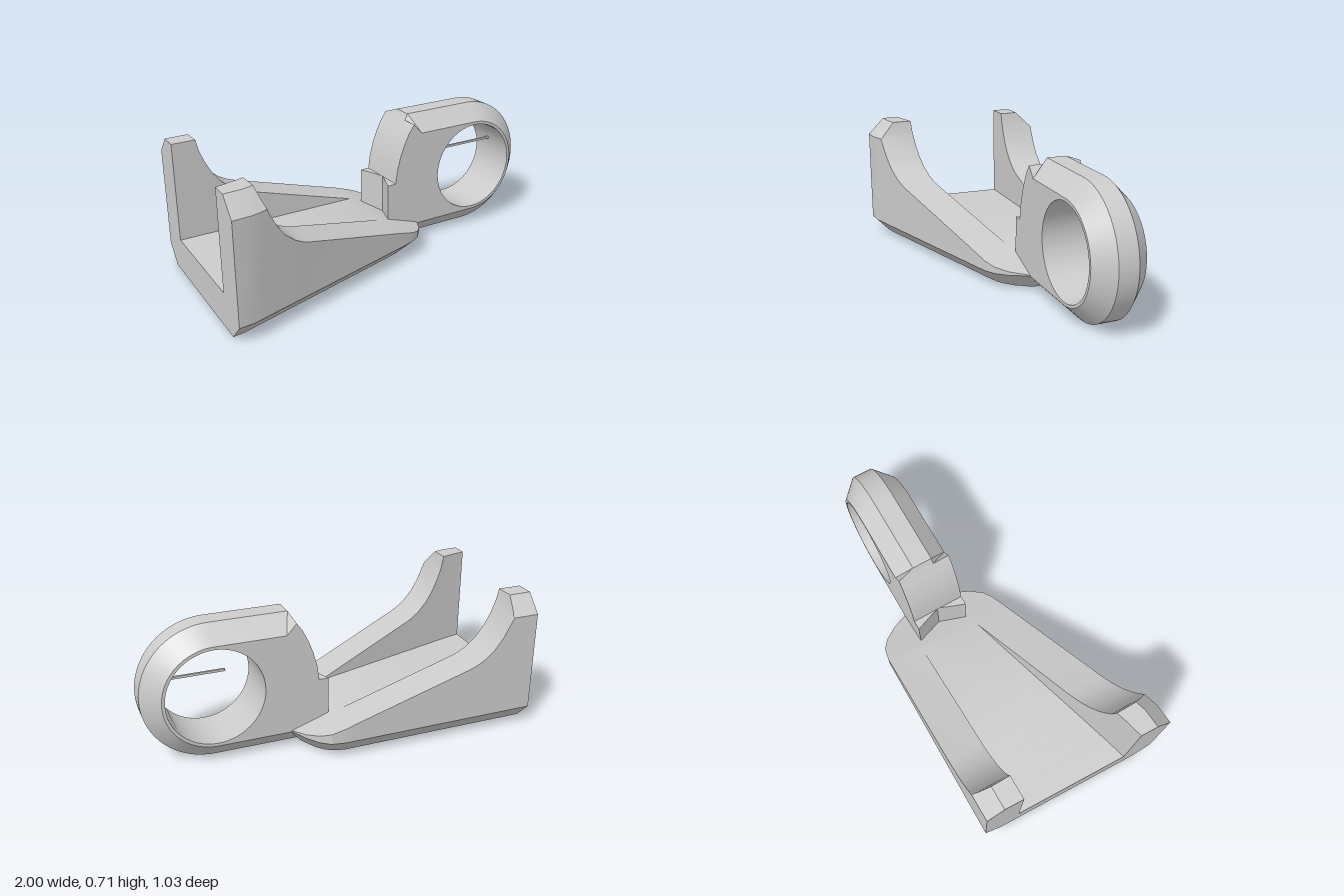
import * as THREE from 'three';
import { toCreasedNormals } from 'three/addons/utils/BufferGeometryUtils.js';

const grey = new THREE.MeshStandardMaterial({ color: 0xcccccc });

// Mesh from a list of triangle corners, with sharp edges kept
function solid(name, tris) {
  const geo = new THREE.BufferGeometry();
  geo.setAttribute('position', new THREE.Float32BufferAttribute(tris.flat(), 3));
  const mesh = new THREE.Mesh(toCreasedNormals(geo, 0.4), grey);
  mesh.name = name;
  return mesh;
}

// Skin between successive closed loops of 3D points
function loft(loops) {
  const tris = [];
  for (let i = 0; i < loops.length - 1; i++) {
    const a = loops[i], b = loops[i + 1], n = a.length;
    for (let j = 0; j < n; j++) {
      const k = (j + 1) % n;
      tris.push(a[j], a[k], b[j], a[k], b[k], b[j]);
    }
  }
  return tris;
}

// Flat cap of a 2D outline with optional hole; place() puts each point in space
function cap(outline, hole, place, flip) {
  const shape = new THREE.Shape(outline.map(p => new THREE.Vector2(...p)));
  if (hole) shape.holes.push(new THREE.Path(hole.map(p => new THREE.Vector2(...p))));
  const geo = new THREE.ShapeGeometry(shape).toNonIndexed();
  const p = geo.attributes.position, tris = [];
  for (let i = 0; i < p.count; i += 3) {
    const order = flip ? [i, i + 2, i + 1] : [i, i + 1, i + 2];
    tris.push(...order.map(k => place(p.getX(k), p.getY(k))));
  }
  return tris;
}

// Linear lookup in a table whose rows start with their key
function lookup(table, key) {
  let i = 0;
  while (i < table.length - 2 && table[i + 1][0] < key) i++;
  const a = table[i], b = table[i + 1], t = (key - a[0]) / (b[0] - a[0]);
  return a.map((v, k) => v + (b[k] - v) * t);
}

// Tapered tray: floor, two side walls and a chamfered underside
function makeTray() {
  // x, back z, front z, then x, back z, front z of the underside
  const plan = [
    [-1, -0.48, 0.51, -1, -0.39, 0.42], [-0.92, -0.483, 0.50, -0.94, -0.393, 0.41],
    [0.05, -0.52, 0.18, 0.02, -0.43, 0.09], [0.12, -0.51, 0.155, 0.07, -0.42, 0.07],
    [0.17, -0.475, 0.125, 0.11, -0.40, 0.04], [0.22, -0.41, 0.065, 0.15, -0.36, 0.0],
    [0.28, -0.29, -0.06, 0.20, -0.27, -0.08],
  ];
  const wallTop = [
    [-1, 0.705], [-0.865, 0.705], [-0.85, 0.642], [-0.825, 0.58], [-0.79, 0.515],
    [-0.745, 0.457], [-0.69, 0.41], [-0.645, 0.385], [-0.6, 0.368], [0, 0.185], [0.28, 0.092],
  ];
  const xs = [...new Set([...plan, ...wallTop, [-0.843, 0]].map(r => r[0]))].sort((a, b) => a - b);
  const section = x => {
    const [, zb, zf, ux, ub, uf] = lookup(plan, x);
    const h = lookup(wallTop, x)[1], floor = Math.min(h, 0.185);
    const shoulder = Math.min(h, 0.615), c = h - shoulder;
    const s = Math.min(x, 0);
    const ib = Math.max(zb + 0.01, -0.33 - 0.04 * s), inf = Math.min(zf - 0.01, -0.33 * s);
    const skew = x > -1 && x < 0 ? 0.037 : 0;
    return [
      [ub, 0, ux], [zb, 0.092], [zb, shoulder], [zb + c, h], [ib, h], [ib, floor],
      [inf, floor], [inf, h], [zf - c, h], [zf, shoulder], [zf, 0.092], [uf, 0, ux],
    ].map(([z, y, px = x]) => [px + (y > 0.1 ? skew * z : 0), y, z]);
  };
  const loops = xs.map(section), first = loops[0], last = loops[loops.length - 1];
  const tris = loft(loops);
  tris.push(...cap(first.map(p => [p[2], p[1]]), null, (z, y) => [-1, y, z]));
  for (let j = 1; j < last.length - 1; j++) tris.push(last[0], last[j], last[j + 1]);
  return solid('tray', tris);
}

// Upright plate with a round bore, chamfered rim and a notched inner end
function makeRing() {
  const cx = 0.645, cy = 0.353, R = 0.353, half = 0.142, bevel = 0.09;
  const rim = r => Array.from({ length: 41 }, (_, i) => {
    const a = -Math.PI / 2 + Math.PI * i / 40;
    return [cx + r * Math.cos(a), cy + r * Math.sin(a)];
  });
  const innerEnd = [
    [0.235, 0.672], [0.205, 0.63], [0.175, 0.57], [0.15, 0.505], [0.13, 0.43],
    [0.12, 0.355], [0.07, 0.355], [0.07, 0.185],
  ];
  const full = [[0.07, 0], ...rim(R), [0.25, 0.706], ...innerEnd];
  const face = [[0.07, 0.09], ...rim(R - bevel), [0.285, 0.616], ...innerEnd];
  // the lower step forms a shallow V across the thickness
  const loopAt = (pts, z) => pts.map(([x, y]) =>
    [x < 0.1 ? x + 0.055 * (1 - Math.abs(z) / half) : x, y, z]);
  const bore = Array.from({ length: 64 }, (_, i) => {
    const a = i / 64 * Math.PI * 2;
    return [cx + 0.247 * Math.cos(a), cy + 0.247 * Math.sin(a)];
  });
  const inner = half - bevel;
  const ring = new THREE.Group();
  ring.name = 'ringPlate';
  ring.add(solid('ringBody', [
    ...loft([loopAt(face, -half), loopAt(full, -inner), loopAt(full, 0), loopAt(full, inner), loopAt(face, half)]),
    ...cap(face, bore, (x, y) => [x, y, half]),
    ...cap(face, bore, (x, y) => [x, y, -half], true),
    ...loft([loopAt(bore, half), loopAt(bore, -half)]),
  ]));
  // thin sliver reaching into the bore
  const sliver = new THREE.Mesh(new THREE.BoxGeometry(0.32, 0.012, 0.012), grey);
  sliver.name = 'boreSliver';
  sliver.position.set(0.725, 0.435, -0.02);
  ring.add(sliver);
  ring.position.set(0.002, 0, -0.17);
  ring.rotation.y = 0.037;
  return ring;
}

export function createModel() {
  const model = new THREE.Group();
  model.name = 'bracket';
  model.add(makeTray(), makeRing());
  return model;
}
